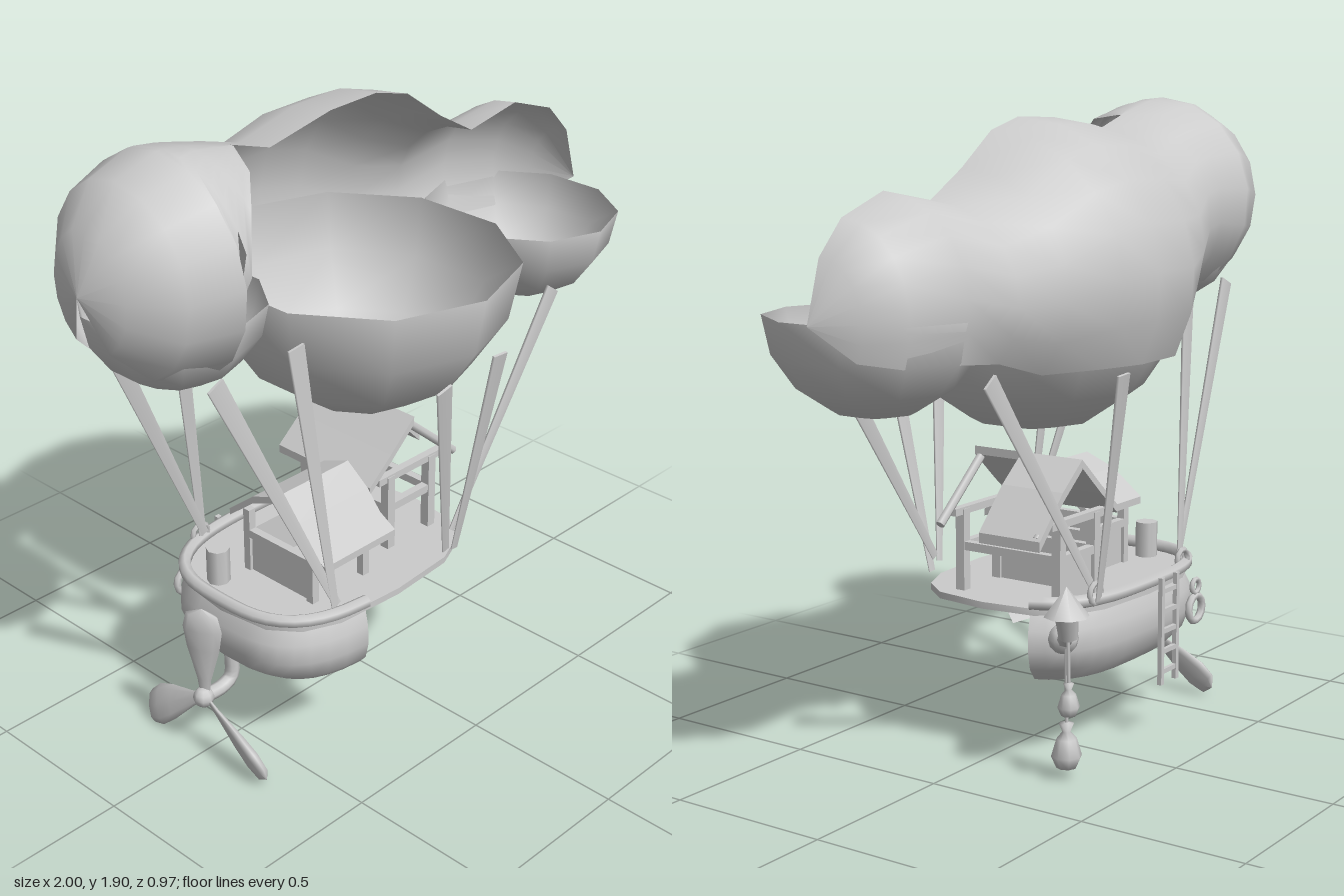
import * as THREE from 'three';
import { mergeGeometries, mergeVertices, toCreasedNormals } from 'three/addons/utils/BufferGeometryUtils.js';

const grey = new THREE.MeshStandardMaterial({ color: 0xcccccc, side: THREE.DoubleSide });
const V = (x, y, z) => new THREE.Vector3(x, y, z);
const rad = THREE.MathUtils.degToRad;

function add(parent, name, geometry, x = 0, y = 0, z = 0) {
  const mesh = new THREE.Mesh(geometry, grey);
  mesh.name = name;
  mesh.position.set(x, y, z);
  parent.add(mesh);
  return mesh;
}

const box = (parent, name, w, h, d, x, y, z) => add(parent, name, new THREE.BoxGeometry(w, h, d), x, y, z);

// Straight rod between two points, with its own radius at each end
function rod(parent, name, a, b, r1, r2 = r1, sides = 6) {
  const dir = b.clone().sub(a);
  const mesh = add(parent, name, new THREE.CylinderGeometry(r2, r1, dir.length(), sides));
  mesh.position.copy(a).add(b).multiplyScalar(0.5);
  mesh.quaternion.setFromUnitVectors(V(0, 1, 0), dir.normalize());
  return mesh;
}

// Open surface from rows of points; fn(i, j) gives each point
function surface(rows, cols, fn) {
  const pos = [], index = [];
  for (let i = 0; i <= rows; i++) for (let j = 0; j <= cols; j++) pos.push(...fn(i, j).toArray());
  for (let i = 0; i < rows; i++) for (let j = 0; j < cols; j++) {
    const a = i * (cols + 1) + j, b = a + cols + 1;
    index.push(a, a + 1, b, b, a + 1, b + 1);
  }
  const g = new THREE.BufferGeometry();
  g.setAttribute('position', new THREE.Float32BufferAttribute(pos, 3));
  g.setIndex(index);
  g.computeVertexNormals();
  return g;
}

function buildBalloon(root) {
  const balloon = new THREE.Group();
  balloon.name = 'balloon';
  root.add(balloon);

  // Stations: x, centre y, top y, depth, back sweep, front sweep (degrees)
  const stations = [
    [-1, 1.6, 1.601, 0.001, 150, 150], [-0.96, 1.6, 1.77, 0.14, 152, 152],
    [-0.86, 1.6, 1.87, 0.26, 155, 155], [-0.72, 1.6, 1.91, 0.32, 148, 148],
    [-0.7, 1.6, 1.91, 0.32, 146, 80], [-0.63, 1.59, 1.9, 0.32, 142, 50],
    [-0.54, 1.575, 1.878, 0.32, 135, 27], [-0.47, 1.55, 1.86, 0.32, 132, 2],
    [-0.33, 1.48, 1.815, 0.38, 128, 0], [-0.1, 1.41, 1.86, 0.48, 119, 0],
    [0.08, 1.41, 1.865, 0.48, 119, 0], [0.21, 1.41, 1.83, 0.44, 122, 0],
    [0.35, 1.4, 1.73, 0.36, 132, 0], [0.49, 1.39, 1.65, 0.295, 130, 0],
    [0.69, 1.38, 1.685, 0.28, 116, 0], [0.86, 1.37, 1.625, 0.22, 118, 0],
    [0.95, 1.36, 1.53, 0.14, 122, 0], [1, 1.36, 1.361, 0.001, 122, 0],
  ];
  const sheet = (list, column, side) => surface(list.length - 1, 7, (i, j) => {
    const s = list[i], t = rad(s[column]) * j / 7;
    return V(s[0], s[1] + (s[2] - s[1]) * Math.cos(t), side * s[3] * Math.sin(t));
  });
  const back = sheet(stations, 4, -1);
  const front = sheet(stations.slice(0, 8), 5, 1);
  const ix = back.index.array;
  for (let k = 0; k < ix.length; k += 3) [ix[k], ix[k + 1]] = [ix[k + 1], ix[k]];
  const shell = mergeGeometries([back, front]);
  shell.deleteAttribute('normal');
  const welded = mergeVertices(shell);
  welded.computeVertexNormals();
  add(balloon, 'cloudShell', welded);

  // Three round bowls under the shell: x, rim y, z, radius, depth, scale in z
  const bowls = [[-0.695, 1.5, 0, 0.25, 0.24, 1.05], [0, 1.415, 0.01, 0.45, 0.465, 1.06], [0.7, 1.36, 0.03, 0.28, 0.28, 1.1]];
  for (const [x, y, z, r, h, sz] of bowls) {
    const g = new THREE.SphereGeometry(r, 10, 4, Math.PI / 10, Math.PI * 2, Math.PI / 2, Math.PI / 2);
    g.scale(1, h / r, sz);
    add(balloon, 'bowl', g, x, y, z);
  }

  // Flat tapering straps down to the deck
  const strap = (top, foot) => {
    const m = rod(balloon, 'strap', foot, top, 0.018, 0.04, 4);
    m.geometry.rotateY(Math.PI / 4);
    m.scale.z = 0.15;
  };
  for (const s of [1, -1]) {
    strap(V(-0.75, 1.34, 0.22 * s), V(-0.37, 0.52, 0.28 * s));
    strap(V(-0.48, 1.36, 0.24 * s), V(-0.38, 0.52, 0.28 * s));
    strap(V(0.16, 1.17, 0.41 * s), V(0.11, 0.5, 0.3 * s));
    strap(V(0.58, 1.19, 0.26 * s), V(0.12, 0.55, 0.28 * s));
  }
  strap(V(-0.1, 1.16, 0.43), V(0.06, 0.52, 0.31));
}

// Rounded outline of the hull at angle a (back is -z), scaled by s
function outline(a, s, y) {
  const soft = v => Math.sign(v) * Math.abs(v) ** 0.66;
  return V(-0.15 + 0.425 * s * soft(Math.cos(a)), y, -0.32 * s * soft(Math.sin(a)));
}

function buildHull(root) {
  const hull = new THREE.Group();
  hull.name = 'hull';
  root.add(hull);
  const from = 0.35, to = Math.PI + 1.4;

  // Bulging wall, open along the front right and below
  const profile = [[0.94, 0.47], [1, 0.42], [1.01, 0.36], [0.95, 0.3], [0.82, 0.255]];
  add(hull, 'hullWall', surface(24, 4, (i, j) => outline(from + (to - from) * i / 24, ...profile[j])));

  // Deck plate
  const rim = [];
  for (let i = 0; i < 16; i++) {
    const p = outline(i / 16 * Math.PI * 2, 0.98, 0);
    rim.push(new THREE.Vector2(p.x, -p.z));
  }
  const deck = new THREE.ExtrudeGeometry(new THREE.Shape(rim), { depth: 0.02, bevelEnabled: false });
  deck.rotateX(-Math.PI / 2);
  add(hull, 'deck', toCreasedNormals(deck, 0.6), 0, 0.465, 0);

  // Rail around the deck edge
  const path = [];
  for (let i = 0; i <= 18; i++) path.push(outline(from + (to - from) * i / 18, 0.97, 0.5));
  add(hull, 'rail', new THREE.TubeGeometry(new THREE.CatmullRomCurve3(path), 40, 0.02, 6));

  // Strap rings, and a hanging ring on the back
  for (const x of [-0.38, 0.11]) add(hull, 'strapRing', new THREE.TorusGeometry(0.03, 0.009, 5, 10), x, 0.52, -0.29);
  add(hull, 'hangingRing', new THREE.TorusGeometry(0.04, 0.012, 6, 12), -0.42, 0.36, -0.315);
  add(hull, 'ringLink', new THREE.TorusGeometry(0.022, 0.008, 6, 10), -0.42, 0.43, -0.315);

  // Ladder
  for (const x of [-0.265, -0.18]) box(hull, 'ladderSide', 0.016, 0.33, 0.014, x, 0.345, -0.337);
  for (let i = 0; i < 5; i++) box(hull, 'ladderRung', 0.085, 0.014, 0.012, -0.222, 0.22 + i * 0.062, -0.337);
}

// Roof sheet: a bent profile with thickness, extruded along z from z0 to z1
function roofSheet(points, z0, z1, thick) {
  const v = points.map(([x, y]) => new THREE.Vector2(x, y));
  const under = v.map(p => new THREE.Vector2(p.x, p.y - thick)).reverse();
  const g = new THREE.ExtrudeGeometry(new THREE.Shape([...v, ...under]), { depth: z1 - z0, bevelEnabled: false });
  return g.translate(0, 0, z0);
}

function buildHuts(root) {
  // Cabin with a flared roof, ridge along x
  const cabin = new THREE.Group();
  cabin.name = 'cabin';
  cabin.position.set(-0.265, 0, 0.06);
  root.add(cabin);
  const roof = roofSheet([[-0.21, 0.655], [-0.15, 0.69], [-0.1, 0.75], [-0.02, 0.81], [0.08, 0.77], [0.18, 0.69]], -0.145, 0.145, 0.022);
  add(cabin, 'cabinRoof', roof.rotateY(Math.PI / 2));
  box(cabin, 'cabinSideWall', 0.015, 0.12, 0.25, -0.1, 0.54, -0.01);
  box(cabin, 'cabinBackWall', 0.2, 0.12, 0.015, 0, 0.54, -0.135);
  for (const z of [-0.14, 0.12]) {
    box(cabin, 'cabinBeam', 0.23, 0.025, 0.025, 0, 0.612, z);
    for (const x of [-0.105, 0.105]) box(cabin, 'cabinPost', 0.025, 0.22, 0.025, x, 0.58, z);
  }
  for (const x of [-0.105, 0.105]) box(cabin, 'cabinSideBeam', 0.025, 0.025, 0.26, x, 0.612, -0.01);

  // Pavilion with a tall gable, ridge along z; the right slope covers only the back
  const pavilion = new THREE.Group();
  pavilion.name = 'pavilion';
  pavilion.position.set(0.09, 0, -0.04);
  root.add(pavilion);
  add(pavilion, 'leftSlope', roofSheet([[-0.19, 0.735], [-0.1, 0.81], [0, 0.9]], -0.19, 0.19, 0.025));
  add(pavilion, 'rightSlope', roofSheet([[0, 0.9], [0.1, 0.82], [0.215, 0.7]], -0.19, 0.02, 0.03));
  box(pavilion, 'pavilionSideWall', 0.015, 0.13, 0.32, -0.09, 0.545, 0);
  box(pavilion, 'pavilionBackWall', 0.18, 0.13, 0.015, 0, 0.545, -0.165);
  for (const z of [-0.17, 0.17]) {
    box(pavilion, 'crossBeam', 0.28, 0.022, 0.025, 0, 0.725, z);
    box(pavilion, 'lowBeam', 0.2, 0.025, 0.025, 0, 0.62, z);
    for (const x of [-0.09, 0.09]) box(pavilion, 'pavilionPost', 0.03, 0.26, 0.03, x, 0.6, z);
    rod(pavilion, 'rafter', V(0, 0.87, z), V(0.2, 0.7, z), 0.014);
  }
  for (const x of [-0.09, 0.09]) box(pavilion, 'sideBeam', 0.025, 0.025, 0.32, x, 0.62, 0);

  // Small barrel near the stern
  add(root, 'barrel', new THREE.CylinderGeometry(0.035, 0.035, 0.11, 8), -0.48, 0.54, -0.1);
}

function buildFittings(root) {
  // Lantern on an arm
  const lantern = new THREE.Group();
  lantern.name = 'lantern';
  root.add(lantern);
  add(lantern, 'armJoint', new THREE.SphereGeometry(0.045, 8, 6), 0.23, 0.41, -0.26);
  rod(lantern, 'arm', V(0.23, 0.4, -0.26), V(0.3, 0.45, -0.32), 0.024, 0.02, 8);
  rod(lantern, 'lampBody', V(0.295, 0.44, -0.32), V(0.32, 0.52, -0.33), 0.028, 0.035, 8);
  add(lantern, 'lampRoof', new THREE.ConeGeometry(0.065, 0.085, 8), 0.32, 0.55, -0.33);

  // Hanging sacks
  const sack = [[0, 0], [0.03, 0.005], [0.045, 0.04], [0.03, 0.09], [0.012, 0.11], [0.022, 0.135], [0, 0.14]];
  const sackGeo = new THREE.LatheGeometry(sack.map(p => new THREE.Vector2(...p)), 8);
  for (const [x, y, z, s] of [[0.25, 0.035, -0.285, 1], [0.285, 0.205, -0.315, 0.72]]) {
    add(root, 'sack', sackGeo, x, y, z).scale.setScalar(s);
    rod(root, 'sackRope', V(x, y + 0.13 * s, z), V(x + 0.005, 0.44, z), 0.006, 0.006, 5);
  }

  // Propeller on a bent pipe
  const propeller = new THREE.Group();
  propeller.name = 'propeller';
  root.add(propeller);
  const bend = new THREE.CatmullRomCurve3([V(-0.64, 0.2, 0), V(-0.57, 0.2, 0), V(-0.535, 0.22, 0), V(-0.53, 0.3, 0)]);
  add(propeller, 'pipe', new THREE.TubeGeometry(bend, 10, 0.022, 8));
  add(propeller, 'hub', new THREE.SphereGeometry(0.032, 8, 6), -0.645, 0.2, 0);
  const blade = [[0.014, 0], [0.022, 0.06], [0.052, 0.17], [0.062, 0.235], [0.05, 0.285], [0, 0.305]];
  const bladeGeo = new THREE.LatheGeometry(blade.map(p => new THREE.Vector2(...p)), 8);
  bladeGeo.scale(0.35, 1, 1);
  bladeGeo.rotateY(0.4);
  for (const turn of [0, 123, -123]) add(propeller, 'blade', bladeGeo, -0.64, 0.2, 0).rotation.x = rad(turn);
}

export function createModel() {
  const root = new THREE.Group();
  root.name = 'cloudAirship';
  buildBalloon(root);
  buildHull(root);
  buildHuts(root);
  buildFittings(root);
  return root;
}
